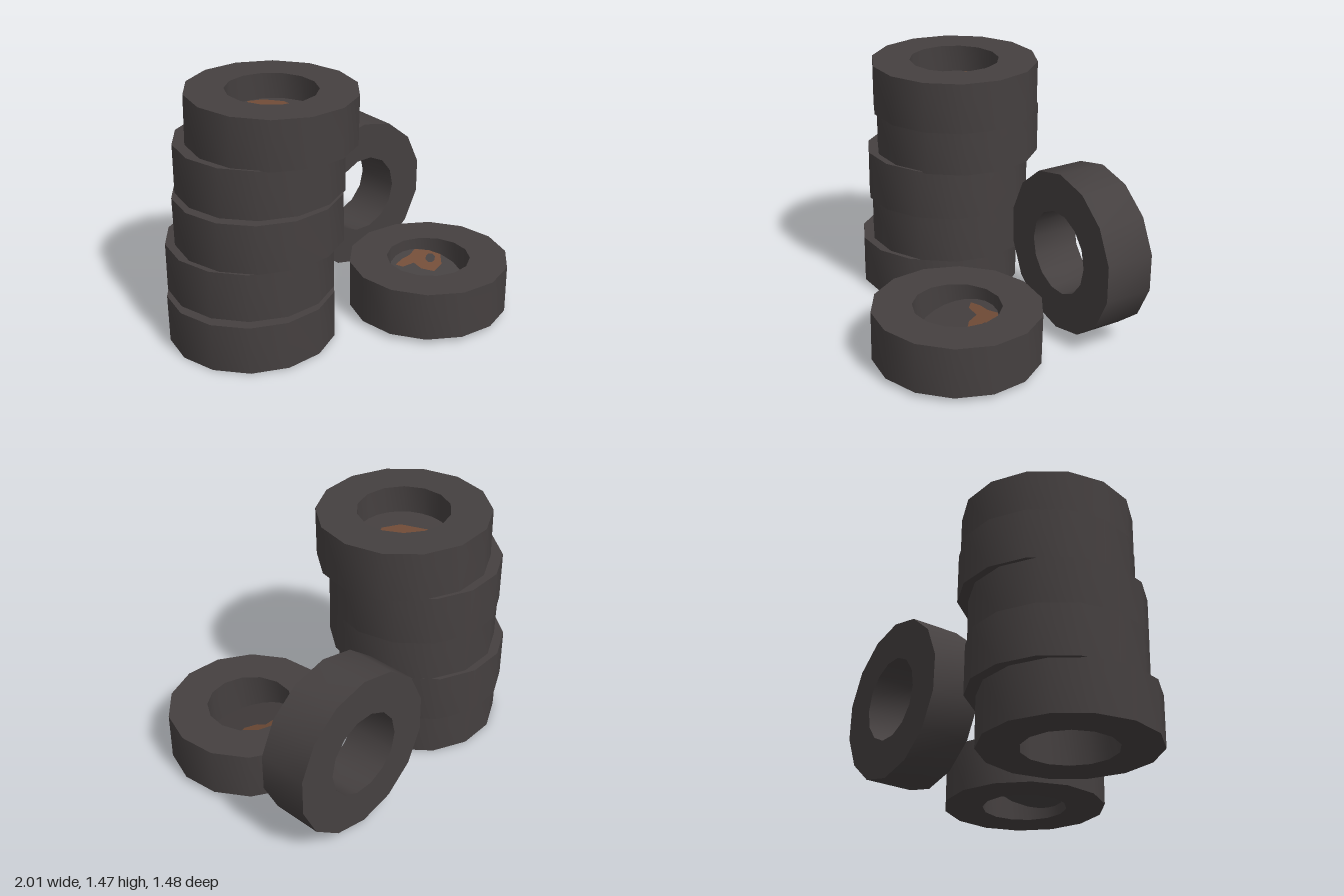
import * as THREE from 'three';
import { toCreasedNormals } from 'three/addons/utils/BufferGeometryUtils.js';

const SIDES = 14;
const rubber = new THREE.MeshStandardMaterial({ color: 0x454040 });
rubber.name = 'darkRubber';
rubber.side = THREE.DoubleSide;
const rust = new THREE.MeshStandardMaterial({ color: 0x714c37 });
rust.name = 'rustBrown';
rust.side = THREE.DoubleSide;

// Regular polygon points, with a phase in radians
function polygon(radius, phase) {
  return Array.from({ length: SIDES }, (_, i) => {
    const a = phase + (i / SIDES) * Math.PI * 2;
    return new THREE.Vector2(Math.cos(a) * radius, Math.sin(a) * radius);
  });
}

// Plain tyre ring centred on the origin, axis along z
function tyreGeometry(outer, inner, width, phase, innerPhase) {
  const shape = new THREE.Shape(polygon(outer, phase));
  shape.holes.push(new THREE.Path(polygon(inner, innerPhase)));
  const geo = new THREE.ExtrudeGeometry(shape, { depth: width, bevelEnabled: false });
  geo.translate(0, 0, -width / 2);
  return toCreasedNormals(geo, Math.PI / 4);
}

// Tyre lying flat, axis along y
function flatTyre(name, outer, inner, width, phase, innerPhase) {
  const geo = tyreGeometry(outer, inner, width, phase, innerPhase).rotateX(-Math.PI / 2);
  const mesh = new THREE.Mesh(geo, rubber);
  mesh.name = name;
  return mesh;
}

// Thin plate inside a tyre with a rust stain on both faces; outline is in (x, z)
function stainedPlate(name, radius, outline, spot) {
  const group = new THREE.Group();
  group.name = name;
  const plate = new THREE.Mesh(new THREE.CircleGeometry(radius, 24).rotateX(-Math.PI / 2), rubber);
  plate.name = 'plate';
  group.add(plate);
  const shape = new THREE.Shape();
  shape.setFromPoints(outline.map(([x, z]) => new THREE.Vector2(x, -z)));
  if (spot) {
    const hole = new THREE.Path();
    hole.absellipse(spot[0], -spot[1], 0.045, 0.03, 0, Math.PI * 2, true, 0.5);
    shape.holes.push(hole);
  }
  for (const y of [0.003, -0.003]) {
    const stain = new THREE.Mesh(new THREE.ShapeGeometry(shape, 4).rotateX(-Math.PI / 2), rust);
    stain.name = 'rustStain';
    stain.position.y = y;
    group.add(stain);
  }
  return group;
}

export function createModel() {
  const model = new THREE.Group();
  model.name = 'tyrePile';

  // Leaning stack: x, y, z, tilt x, tilt z
  const stack = [
    [-0.51, 0.157, -0.21, -0.004, 0.004],
    [-0.47, 0.453, -0.26, 0.004, -0.004],
    [-0.43, 0.75, -0.22, -0.005, 0.006],
    [-0.382, 1.04, -0.26, 0.006, -0.004],
    [-0.326, 1.325, -0.21, 0.014, -0.016],
  ];
  stack.forEach(([x, y, z, tx, tz], i) => {
    const tyre = flatTyre('stackTyre' + (i + 1), 0.493, 0.265, 0.292, 0, Math.PI / SIDES);
    tyre.position.set(x, y, z);
    tyre.rotation.set(tx, 0, tz);
    model.add(tyre);
  });

  // Stained plate in the top tyre
  const topPlate = stainedPlate('stackPlate', 0.262, [
    [-0.18, -0.17], [-0.11, -0.21], [-0.06, -0.235], [-0.06, -0.18], [-0.02, -0.18],
    [0, -0.24], [0.09, -0.2], [0.16, -0.1], [0.16, 0.03], [0.12, 0.1],
    [0.03, 0.135], [-0.07, 0.08], [-0.1, 0], [-0.13, -0.08], [-0.18, -0.13],
  ]);
  topPlate.position.set(-0.312, 1.32, -0.222);
  model.add(topPlate);

  // Loose tyre lying in front, with a tilted stained plate inside
  const loose = flatTyre('lyingTyre', 0.482, 0.252, 0.295, Math.PI / 2, 0);
  loose.position.set(0.481, 0.182, 0.257);
  loose.rotation.set(-0.005, 0.1, -0.003);
  model.add(loose);
  const loosePlate = stainedPlate('lyingPlate', 0.25, [
    [-0.12, -0.18], [-0.05, -0.2], [0.02, -0.205], [0.09, -0.23], [0.17, -0.18],
    [0.215, -0.12], [0.16, -0.05], [0.07, -0.025], [0.01, -0.08], [0, -0.14], [-0.09, -0.145],
  ], [0.13, -0.125]);
  loosePlate.position.set(0.485, 0.182, 0.262);
  loosePlate.rotation.x = 0.36;
  model.add(loosePlate);

  // Tyre standing upright behind
  const standing = new THREE.Mesh(tyreGeometry(0.48, 0.247, 0.292, Math.PI / 2, 0), rubber);
  standing.name = 'standingTyre';
  standing.position.set(0.533, 0.512, -0.53);
  standing.rotation.set(0.013, -0.02, 0);
  model.add(standing);

  return model;
}
